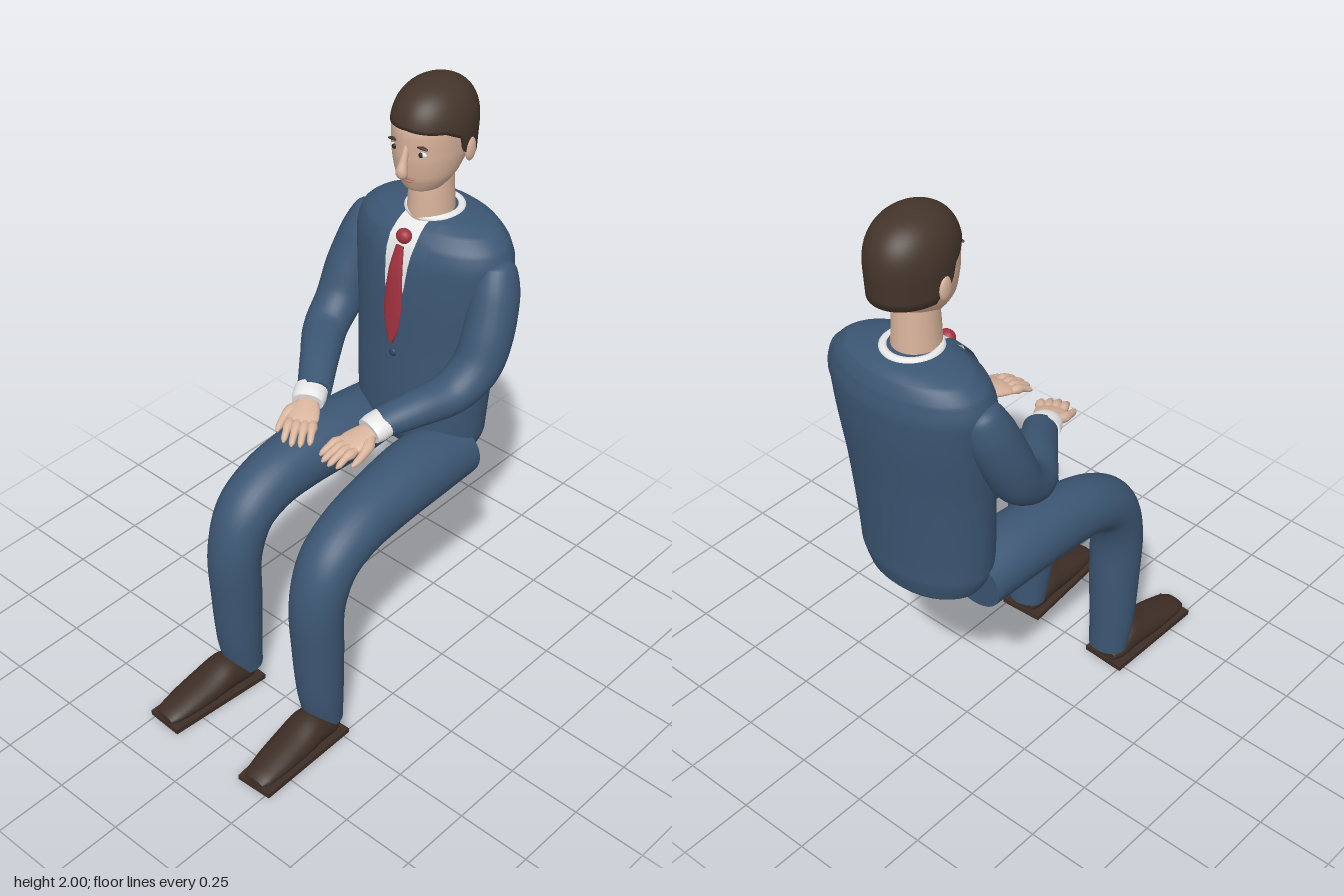
import * as THREE from 'three';

const paint = (name, color) => Object.assign(new THREE.MeshStandardMaterial({ color }), { name });
const M = {
  suit: paint('suit blue', 0x3c5673),
  skin: paint('skin', 0xd8b39b),
  hair: paint('hair brown', 0x44352b),
  shoe: paint('shoe brown', 0x3d2e26),
  shirt: paint('shirt white', 0xeeeeee),
  tie: paint('tie red', 0xa23240),
  lips: paint('lips', 0xb5766a),
  dark: paint('eye dark', 0x2a2624),
  button: paint('button blue', 0x2e4464),
};
M.shirt.side = M.suit.side = M.hair.side = THREE.DoubleSide;

function add(parent, name, geo, mat, pos = [0, 0, 0], scale = [1, 1, 1]) {
  const mesh = new THREE.Mesh(geo, mat);
  mesh.name = name;
  mesh.position.set(...pos);
  mesh.scale.set(...scale);
  parent.add(mesh);
  return mesh;
}
const ball = new THREE.SphereGeometry(1, 24, 16);

// Smooth rings through points [x, y, z, sideRadius, otherRadius]
function sample(pts, n) {
  const path = new THREE.CatmullRomCurve3(pts.map(p => new THREE.Vector3(p[0], p[1], p[2])));
  const size = new THREE.CatmullRomCurve3(pts.map(p => new THREE.Vector3(p[3], p[4], 0)));
  return Array.from({ length: n + 1 }, (_, i) => ({
    p: path.getPoint(i / n), t: path.getTangent(i / n), r: size.getPoint(i / n),
  }));
}

// Skin a list of elliptical rings; axis fixes the ring direction when given
function loft(rings, seg = 32, axis = null) {
  const pos = [], idx = [];
  const ring = ({ p, t, r }) => {
    const T = axis || t;
    const side = new THREE.Vector3(1, 0, 0).addScaledVector(T, -T.x).normalize();
    const bin = new THREE.Vector3().crossVectors(T, side);
    for (let j = 0; j < seg; j++) {
      const a = j / seg * Math.PI * 2;
      const v = p.clone().addScaledVector(side, r.x * Math.cos(a)).addScaledVector(bin, r.y * Math.sin(a));
      pos.push(v.x, v.y, v.z);
    }
  };
  rings.forEach(ring);
  for (let i = 0; i < rings.length - 1; i++) for (let j = 0; j < seg; j++) {
    const a = i * seg + j, b = i * seg + (j + 1) % seg;
    idx.push(a, b, a + seg, b, b + seg, a + seg);
  }
  // flat end caps
  [rings[0], rings[rings.length - 1]].forEach((e, k) => {
    const s = pos.length / 3;
    ring(e);
    pos.push(e.p.x, e.p.y, e.p.z);
    for (let j = 0; j < seg; j++) {
      const a = s + j, b = s + (j + 1) % seg;
      idx.push(...(k ? [a, b, s + seg] : [b, a, s + seg]));
    }
  });
  return finish(pos, idx);
}
function finish(pos, idx) {
  const g = new THREE.BufferGeometry();
  g.setAttribute('position', new THREE.Float32BufferAttribute(pos, 3));
  g.setIndex(idx);
  g.computeVertexNormals();
  return g;
}
const tube = (pts, n = 24, seg = 24) => loft(sample(pts, n), seg);
const UP = new THREE.Vector3(0, 1, 0), FWD = new THREE.Vector3(0, 0, 1);

// Upright body rows: [y, half width, front z, back z]
const upright = rows => rows.map(([y, w, f, b]) => [0, y, (f + b) / 2, w, (f - b) / 2]);

const torsoRings = sample(upright([
  [.73, .06, -.40, -.48], [.737, .14, -.35, -.515], [.765, .2, -.29, -.54], [.83, .23, -.252, -.555],
  [.95, .238, -.248, -.562], [1.15, .25, -.255, -.58], [1.35, .272, -.262, -.603], [1.45, .28, -.272, -.607],
  [1.51, .262, -.29, -.595], [1.55, .215, -.325, -.575], [1.568, .15, -.35, -.55], [1.58, .07, -.38, -.5],
]), 88);

// Jacket front surface, for clothes laid over it
function frontZ(x, y) {
  let i = torsoRings.findIndex(s => s.p.y >= y);
  i = i < 1 ? torsoRings.length - 1 : i;
  const a = torsoRings[i - 1], b = torsoRings[i], k = Math.min(1, (y - a.p.y) / (b.p.y - a.p.y));
  const mix = f => f(a) + (f(b) - f(a)) * k;
  return mix(s => s.p.z) + mix(s => s.r.y) * Math.sqrt(Math.max(0, 1 - (x / mix(s => s.r.x)) ** 2));
}
// Thin cloth from rows [y, x0, x1], draped over the chest
function drape(rows, off, s = 1, cols = 6, steps = 4) {
  const pos = [], idx = [];
  let n = 0;
  for (let i = 0; i < rows.length - 1; i++) for (let k = 0; k <= steps; k++) {
    if (k === steps && i < rows.length - 2) continue;
    const [y, x0, x1] = rows[i].map((v, c) => v + (rows[i + 1][c] - v) * k / steps);
    for (let j = 0; j <= cols; j++) {
      const x = s * (x0 + (x1 - x0) * j / cols);
      pos.push(x, y, frontZ(x, y) + off);
    }
    n++;
  }
  for (let i = 0; i < n - 1; i++) for (let j = 0; j < cols; j++) {
    const a = i * (cols + 1) + j, c = a + cols + 1;
    idx.push(...(s > 0 ? [a, c, a + 1, a + 1, c, c + 1] : [a, a + 1, c, a + 1, c + 1, c]));
  }
  return finish(pos, idx);
}

function hairGeometry() {
  const line = [[0, 1.895], [.3, 1.885], [.43, 1.855], [.46, 1.8], [.53, 1.8], [.6, 1.765], [1, 1.765]];
  const seg = 80, rows = 20, pos = [], idx = [];
  for (let i = 0; i <= rows + 1; i++) for (let j = 0; j < seg; j++) {
    const a = j / seg * Math.PI * 2, u = Math.min(j, seg - j) / (seg / 2);
    const k = Math.max(1, line.findIndex(l => l[0] >= u));
    const [u0, y0] = line[k - 1], [u1, y1] = line[k];
    const low = y0 + (y1 - y0) * (u - u0) / (u1 - u0);
    const y = 2 - (2 - low) * Math.min(1, i / rows) ** 2;
    let h = y > 1.86 ? Math.max(0, 1 - ((y - 1.86) / .14) ** 2.3) ** (1 / 2.3) : 1 - .4 * (1.86 - y);
    if (i > rows) h *= .85; // lower edge folds in to the scalp
    pos.push(.12 * h * Math.sin(a), y, -.005 + .155 * h * Math.cos(a));
  }
  for (let i = 0; i <= rows; i++) for (let j = 0; j < seg; j++) {
    const a = i * seg + j, b = i * seg + (j + 1) % seg;
    idx.push(a, a + seg, b, b, a + seg, b + seg);
  }
  return finish(pos, idx);
}

function makeHead() {
  const head = new THREE.Group();
  head.name = 'head';
  add(head, 'face', loft(sample(upright([
    [1.668, .025, .075, .01], [1.685, .06, .112, -.04], [1.73, .09, .134, -.08], [1.8, .108, .146, -.13],
    [1.88, .112, .148, -.145], [1.95, .085, .11, -.11], [1.98, .03, .045, -.05],
  ]), 36), 36, UP), M.skin);
  add(head, 'hair', hairGeometry(), M.hair);
  add(head, 'nose', tube([[0, 1.85, .138, .008, .008], [0, 1.8, .154, .012, .013],
    [0, 1.765, .164, .018, .016], [0, 1.745, .148, .01, .008]], 16, 16), M.skin);
  add(head, 'upperLip', ball, M.lips, [0, 1.737, .134], [.026, .005, .008]);
  add(head, 'lowerLip', ball, M.lips, [0, 1.728, .132], [.02, .005, .008]);
  for (const s of [-1, 1]) {
    add(head, 'ear', ball, M.skin, [s * .116, 1.8, -.02], [.012, .038, .024]);
    add(head, 'eye', ball, M.shirt, [s * .046, 1.825, .13], [.017, .009, .008]);
    add(head, 'iris', ball, M.dark, [s * .046, 1.825, .135], [.008, .008, .006]);
    add(head, 'eyebrow', ball, M.hair, [s * .046, 1.849, .134], [.023, .005, .007]).rotation.z = -s * .1;
  }
  head.position.z = -.415;
  head.rotation.y = .12;
  return head;
}

// Hand with its shirt cuff, pointing along local +z; s is the thumb side
function makeHand(s) {
  const hand = new THREE.Group();
  hand.name = 'hand';
  add(hand, 'cuff', tube([[0, 0, -.03, .052, .04], [0, 0, .005, .053, .041], [0, 0, .03, .049, .036]], 6), M.shirt);
  add(hand, 'palm', tube([[0, 0, .01, .028, .02], [0, 0, .05, .043, .019], [0, 0, .09, .049, .016],
    [0, -.003, .125, .042, .011]], 12), M.skin);
  [.076, .088, .086, .074].forEach((len, i) => {
    const x = (i - 1.5) * .023;
    add(hand, 'finger', tube([[x, 0, .105, .012, .011], [x * 1.08, .002, .105 + len * .5, .012, .011],
      [x * 1.15, -.008, .1 + len, .01, .009], [x * 1.15, -.013, .112 + len, .003, .003]], 10, 10), M.skin);
  });
  add(hand, 'thumb', tube([[s * .025, 0, .04, .014, .013], [s * .054, -.004, .085, .014, .013],
    [s * .066, -.01, .13, .011, .011], [s * .068, -.012, .15, .004, .004]], 10, 10), M.skin);
  return hand;
}

export function createModel() {
  const man = new THREE.Group();
  man.name = 'seatedMan';

  // Jacket, shirt and tie
  add(man, 'jacket', loft(torsoRings, 48, UP), M.suit);
  add(man, 'shirtFront', drape([[1.575, -.055, .055], [1.5, -.055, .055], [1.36, -.04, .04], [1.2, -.004, .004]], .006), M.shirt);
  for (const s of [-1, 1]) add(man, 'lapel', drape([[1.578, .045, .075], [1.52, .05, .098], [1.37, .037, .115],
    [1.27, .016, .075], [1.2, 0, .014]], .012, s), M.suit);
  add(man, 'tie', tube([[1.5, .014], [1.42, .026], [1.3, .034], [1.22, .026], [1.165, .004]]
    .map(([y, w]) => [0, y, frontZ(0, y) + .01, w, .009])), M.tie);
  add(man, 'tieKnot', ball, M.tie, [0, 1.525, -.295], [.027, .024, .022]);
  add(man, 'button', ball, M.button, [0, 1.125, frontZ(0, 1.125)], [.014, .014, .008]);
  const collar = add(man, 'collar', new THREE.TorusGeometry(.08, .014, 12, 36), M.shirt, [0, 1.571, -.435]);
  collar.rotation.x = Math.PI / 2;

  // Neck and head
  add(man, 'neck', loft(sample([[0, 1.55, -.417, .072, .077], [0, 1.64, -.415, .069, .071],
    [0, 1.72, -.415, .068, .063]], 8), 28, UP), M.skin);
  man.add(makeHead());

  // Arms: wrist position and hand direction differ from side to side
  for (const [s, wx, wy, wz, yaw] of [[-1, -.085, 1.075, .03, .53], [1, .172, 1.08, .012, -.19]]) {
    const ex = wx - s * .27;
    add(man, 'sleeve', tube([
      [s * .235, 1.475, -.437, .02, .02], [s * .245, 1.455, -.433, .058, .06], [s * .262, 1.38, -.41, .075, .077],
      [s * .278, 1.27, -.365, .079, .078], [s * .278, 1.175, -.315, .077, .073], [s * .258, 1.115, -.23, .072, .062],
      [s * .27 + ex * .5, 1.1, -.115, .062, .055], [wx, wy, wz - .02, .053, .043],
    ], 40, 28), M.suit);
    const hand = makeHand(s);
    hand.position.set(wx, wy - .004, wz);
    hand.rotation.set(.2, yaw, 0, 'YXZ');
    man.add(hand);
  }

  // Legs and shoes
  for (const s of [-1, 1]) {
    add(man, 'trouserLeg', tube([
      [s * .155, .768, -.38, .108, .094], [s * .157, .778, -.2, .115, .106], [s * .168, .768, 0, .105, .102],
      [s * .174, .745, .13, .1, .094], [s * .177, .685, .23, .096, .089], [s * .177, .56, .281, .09, .084],
      [s * .178, .35, .281, .084, .08], [s * .18, .18, .274, .076, .073], [s * .18, .06, .26, .066, .06],
    ], 48, 32), M.suit);
    const shoe = new THREE.Group();
    shoe.name = 'shoe';
    const outline = new THREE.Shape([[-.076, .23], [.076, .23], [.063, .605], [-.063, .605]]
      .map(([x, z]) => new THREE.Vector2(x, -z)));
    const sole = add(shoe, 'sole', new THREE.ExtrudeGeometry(outline, { depth: .018, bevelEnabled: false }), M.shoe);
    sole.rotation.x = -Math.PI / 2;
    add(shoe, 'upper', loft(sample([
      [0, .035, .235, .045, .025], [0, .045, .27, .062, .045], [0, .062, .335, .066, .058], [0, .052, .42, .066, .046],
      [0, .042, .51, .06, .034], [0, .034, .575, .05, .023], [0, .03, .603, .036, .012],
    ], 24), 28, FWD), M.shoe);
    shoe.position.x = s * .172;
    shoe.rotation.y = s * .05;
    man.add(shoe);
  }
  return man;
}
